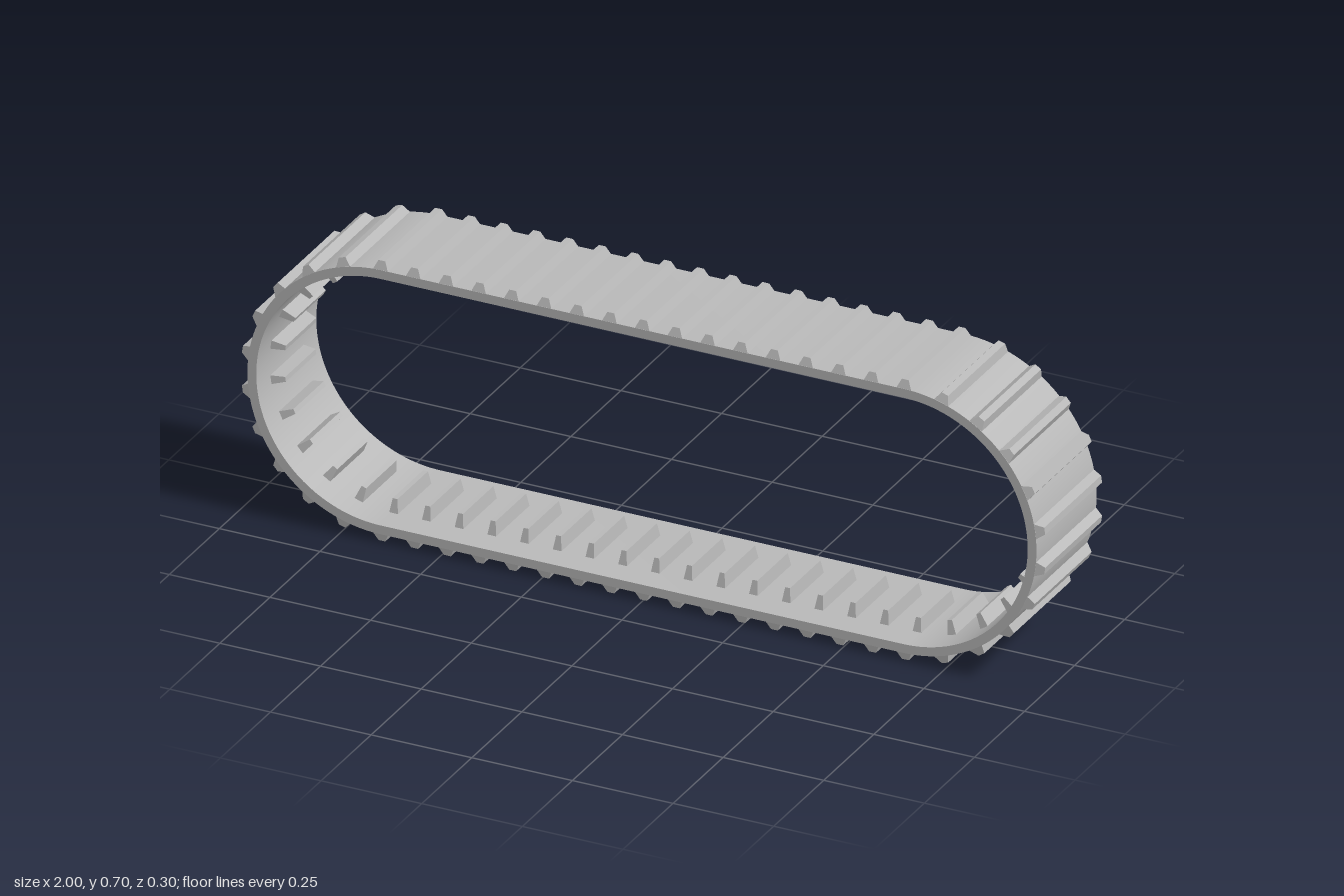
import * as THREE from 'three';
import { toCreasedNormals } from 'three/addons/utils/BufferGeometryUtils.js';

const HALF_RUN = 0.65;   // half length of the straight runs
const MID_Y = 0.35;      // axle height
const OUTER = 0.33, INNER = 0.308, TIP = 0.35;
const WIDTH = 0.3;

// Rounded-end loop outline
function loop(path, r) {
  path.moveTo(-HALF_RUN, -r);
  path.lineTo(HALF_RUN, -r);
  path.absarc(HALF_RUN, 0, r, -Math.PI / 2, Math.PI / 2, false);
  path.lineTo(-HALF_RUN, r);
  path.absarc(-HALF_RUN, 0, r, Math.PI / 2, Math.PI * 1.5, false);
  return path;
}

// Bar along z between two heights, narrowing from base to tip
function taperedBar(baseY, tipY, baseW, tipW, baseL, tipL) {
  const h = Math.abs(tipY - baseY);
  const geo = new THREE.BoxGeometry(1, h, 1);
  const p = geo.attributes.position;
  const tipSign = Math.sign(tipY - baseY);
  for (let i = 0; i < p.count; i++) {
    const tip = p.getY(i) * tipSign > 0;
    p.setX(i, p.getX(i) * (tip ? tipW : baseW));
    p.setZ(i, p.getZ(i) * (tip ? tipL : baseL));
  }
  geo.translate(0, (baseY + tipY) / 2, 0);
  const flat = geo.toNonIndexed();
  flat.computeVertexNormals();
  return flat;
}

export function createModel() {
  const model = new THREE.Group();
  model.name = 'trackLoop';
  const grey = new THREE.MeshStandardMaterial({ color: 0xb8b8b8 });
  grey.name = 'track grey';

  // Continuous belt
  const shape = loop(new THREE.Shape(), OUTER);
  shape.holes.push(loop(new THREE.Path(), INNER));
  const beltGeo = new THREE.ExtrudeGeometry(shape, { depth: WIDTH, bevelEnabled: false, curveSegments: 40 });
  beltGeo.translate(0, 0, -WIDTH / 2);
  const belt = new THREE.Mesh(toCreasedNormals(beltGeo, 0.5), grey);
  belt.name = 'belt';
  belt.position.y = MID_Y;
  model.add(belt);

  // Outer tread bar and inner guide tooth, measured from the axle line
  const treadGeo = taperedBar(OUTER - 0.002, TIP, 0.038, 0.017, WIDTH, 0.284);
  const toothGeo = taperedBar(INNER + 0.002, 0.275, 0.022, 0.012, 0.168, 0.152);

  function addLink(x, angle) {
    const link = new THREE.Group();
    link.name = 'link';
    const tread = new THREE.Mesh(treadGeo, grey);
    tread.name = 'treadBar';
    const tooth = new THREE.Mesh(toothGeo, grey);
    tooth.name = 'guideTooth';
    link.add(tread, tooth);
    link.position.set(x, MID_Y, 0);
    link.rotation.z = angle;
    model.add(link);
  }

  // Links on the straight runs
  for (let i = 0; i <= 16; i++) {
    const x = -HALF_RUN + (i * 2 * HALF_RUN) / 16;
    addLink(x, 0);
    addLink(x, Math.PI);
  }
  // Links around both ends
  for (let i = 1; i <= 10; i++) {
    const a = (i * Math.PI) / 11;
    addLink(HALF_RUN, -a);
    addLink(-HALF_RUN, a);
  }
  return model;
}
